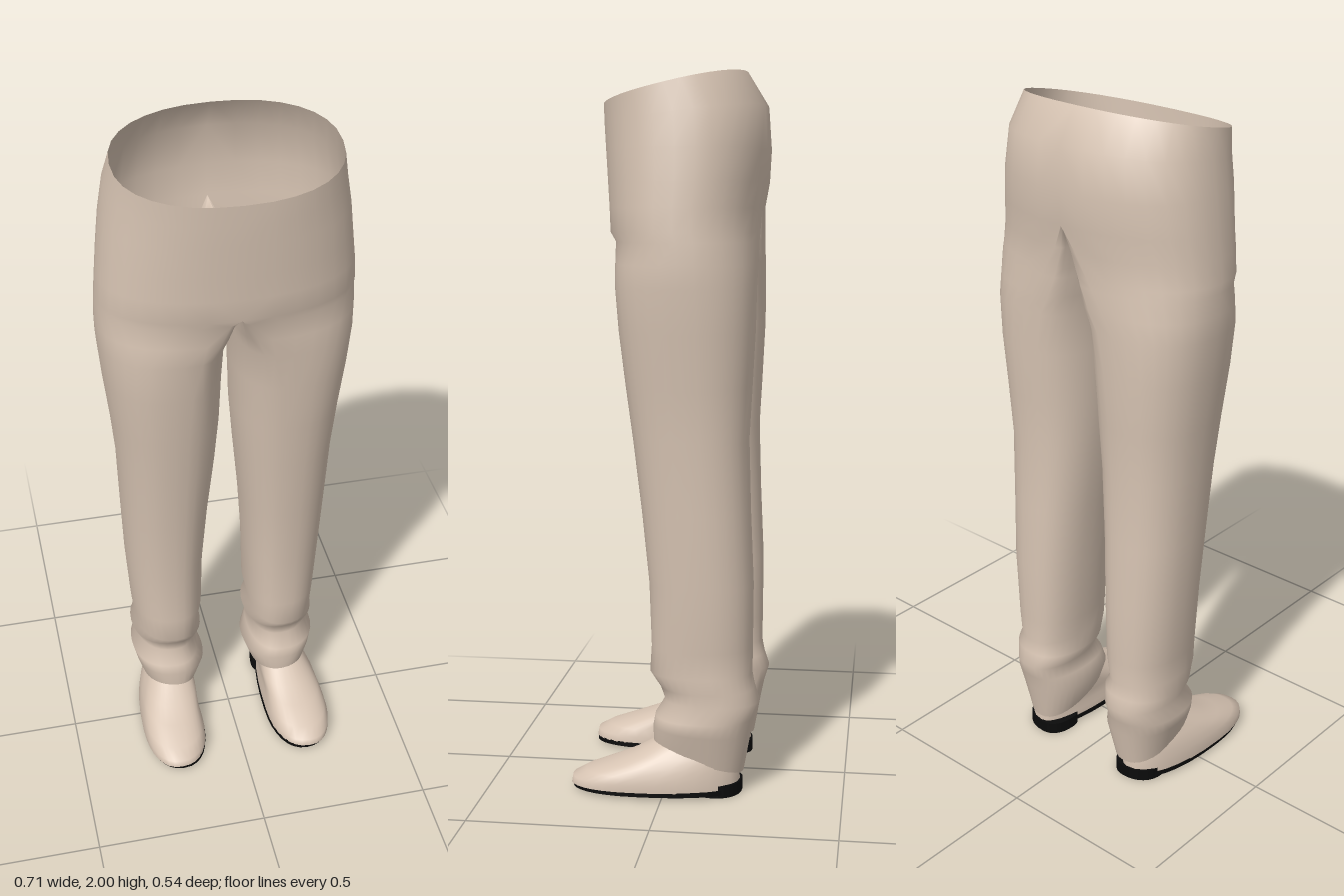
import * as THREE from 'three';
import { mergeVertices } from 'three/addons/utils/BufferGeometryUtils.js';

const SIDES = 32;

// 0 at height y = from, rising evenly to 1 at height y = to
const ramp = (y, from, to) => THREE.MathUtils.clamp((y - from) / (to - from), 0, 1);

// Rules for the trousers: legs part below the seat, waist and hem slope
const trouserShape = (y, front, back) => ({
  frontCrest: 0.17 * ramp(y, 1.565, 1.4),
  backCrest: 0.17 * ramp(y, 1.69, 1.4),
  innerPower: 0.4 + 0.45 * ramp(y, 1.6, 1.2),
  tilt: 0.31 * ramp(y, 0.2, 0.1) - 0.23 * ramp(y, 1.79, 1.955),
  widest: (front + back) / 2,
});

// Rules for the shoes: widest at the ball of the foot, then closing to the ankle
const shoeShape = (y) => ({
  frontCrest: 0.205 - 0.025 * ramp(y, 0.05, 0.155),
  backCrest: 0.175,
  innerPower: 0.85,
  tilt: 0,
  widest: 0.09 - 0.17 * ramp(y, 0.05, 0.155),
});

// Point i of a horizontal cross-section: height, front z, back z, outer x, inner x
function ringPoint([y, front, back, outer, inner], shape, i) {
  const t = (i / SIDES) * Math.PI * 2;
  const s = Math.sin(t), c = Math.cos(t);
  const { frontCrest, backCrest, innerPower, tilt, widest } = shape(y, front, back);
  const crest = c > 0 ? frontCrest : backCrest;
  const across = Math.abs(s) ** (s < 0 ? innerPower : 0.88);
  const x = crest + ((s < 0 ? inner : outer) - crest) * across;
  const z = widest + ((c > 0 ? front : back) - widest) * Math.abs(c) ** 0.88;
  return [x, y + tilt * (z - widest), z];
}

// Joins rows from top to bottom; sides lists 1 and/or -1 for the mirrored copy
function loft(rows, shape, sides) {
  const pos = [], idx = [];
  for (const side of sides) {
    const base = pos.length / 3;
    for (const row of rows)
      for (let i = 0; i < SIDES; i++) {
        const [x, y, z] = ringPoint(row, shape, i);
        pos.push(x * side, y, z);
      }
    for (let r = 0; r < rows.length - 1; r++)
      for (let i = 0; i < SIDES; i++) {
        const a = base + r * SIDES + i, b = base + r * SIDES + ((i + 1) % SIDES);
        const c = a + SIDES, d = b + SIDES;
        for (const tri of [[a, c, b], [b, c, d]]) {
          // Leave the body hollow along the middle plane
          if (tri.every((v) => Math.abs(pos[v * 3]) < 1e-4)) continue;
          idx.push(...(side > 0 ? tri : tri.reverse()));
        }
      }
  }
  let g = new THREE.BufferGeometry();
  g.setAttribute('position', new THREE.Float32BufferAttribute(pos, 3));
  g.setIndex(idx);
  g = mergeVertices(g, 1e-4);
  g.computeVertexNormals();
  return g;
}

// Closed flat slab with crisp edges
function slab(top, bottom, front, back, outer, inner, side) {
  const mid = (outer + inner) / 2, widest = front - (front - back) * 0.4;
  const shape = () => ({ frontCrest: mid, backCrest: mid - 0.015, innerPower: 0.85, tilt: 0, widest });
  const edge = (y) => [y, front, back, outer, inner];
  const centre = (y) => [y, widest, widest, mid, mid];
  const g = loft([centre(top), edge(top), edge(bottom), centre(bottom)], shape, [side]).toNonIndexed();
  g.computeVertexNormals();
  return g;
}

export function createModel() {
  const cloth = new THREE.MeshStandardMaterial({ color: 0xd6c3b2, side: THREE.DoubleSide });
  cloth.name = 'beige';
  const black = new THREE.MeshStandardMaterial({ color: 0x0b0b0b, side: THREE.DoubleSide });
  black.name = 'black';

  const model = new THREE.Group();
  model.name = 'trousersAndShoes';
  const add = (name, geometry, material) => {
    const mesh = new THREE.Mesh(geometry, material);
    mesh.name = name;
    model.add(mesh);
  };

  // Waist, hips and both legs down to the crumpled hems
  const trouserRows = [
    [1.955, 0.19, -0.205, 0.3, 0],
    [1.88, 0.188, -0.262, 0.315, 0],
    [1.79, 0.184, -0.27, 0.33, 0],
    [1.7, 0.178, -0.265, 0.34, 0],
    [1.63, 0.173, -0.25, 0.347, 0],
    [1.565, 0.17, -0.248, 0.352, 0],
    [1.54, 0.152, -0.247, 0.353, 0],
    [1.48, 0.147, -0.247, 0.355, 0],
    [1.42, 0.14, -0.246, 0.353, 0.012],
    [1.3, 0.128, -0.245, 0.342, 0.016],
    [1.15, 0.11, -0.238, 0.325, 0.02],
    [1, 0.09, -0.23, 0.312, 0.032],
    [0.8, 0.066, -0.236, 0.305, 0.052],
    [0.6, 0.046, -0.245, 0.297, 0.067],
    [0.42, 0.04, -0.244, 0.285, 0.072],
    [0.345, 0.045, -0.243, 0.276, 0.088],
    [0.305, 0.015, -0.25, 0.288, 0.072],
    [0.265, 0.002, -0.264, 0.272, 0.09],
    [0.22, 0.03, -0.25, 0.29, 0.085],
    [0.18, 0.036, -0.24, 0.28, 0.067],
    [0.1, 0.035, -0.22, 0.256, 0.095],
  ];
  add('trousers', loft(trouserRows, trouserShape, [1, -1]), cloth);

  // Open shoe uppers, from ankle to welt, with sole and heel
  const shoeRows = [
    [0.155, 0.01, -0.19, 0.235, 0.115],
    [0.11, 0.09, -0.2, 0.265, 0.11],
    [0.085, 0.155, -0.205, 0.28, 0.112],
    [0.06, 0.225, -0.208, 0.289, 0.11],
    [0.04, 0.262, -0.21, 0.294, 0.105],
    [0.02, 0.266, -0.21, 0.294, 0.104],
  ];
  for (const side of [1, -1]) {
    const label = side > 0 ? 'left' : 'right';
    add(label + 'Shoe', loft(shoeRows, shoeShape, [side]), cloth);
    add(label + 'Sole', slab(0.022, 0.008, 0.262, -0.208, 0.292, 0.102, side), black);
    add(label + 'Heel', slab(0.035, 0, -0.085, -0.216, 0.252, 0.108, side), black);
  }
  return model;
}
